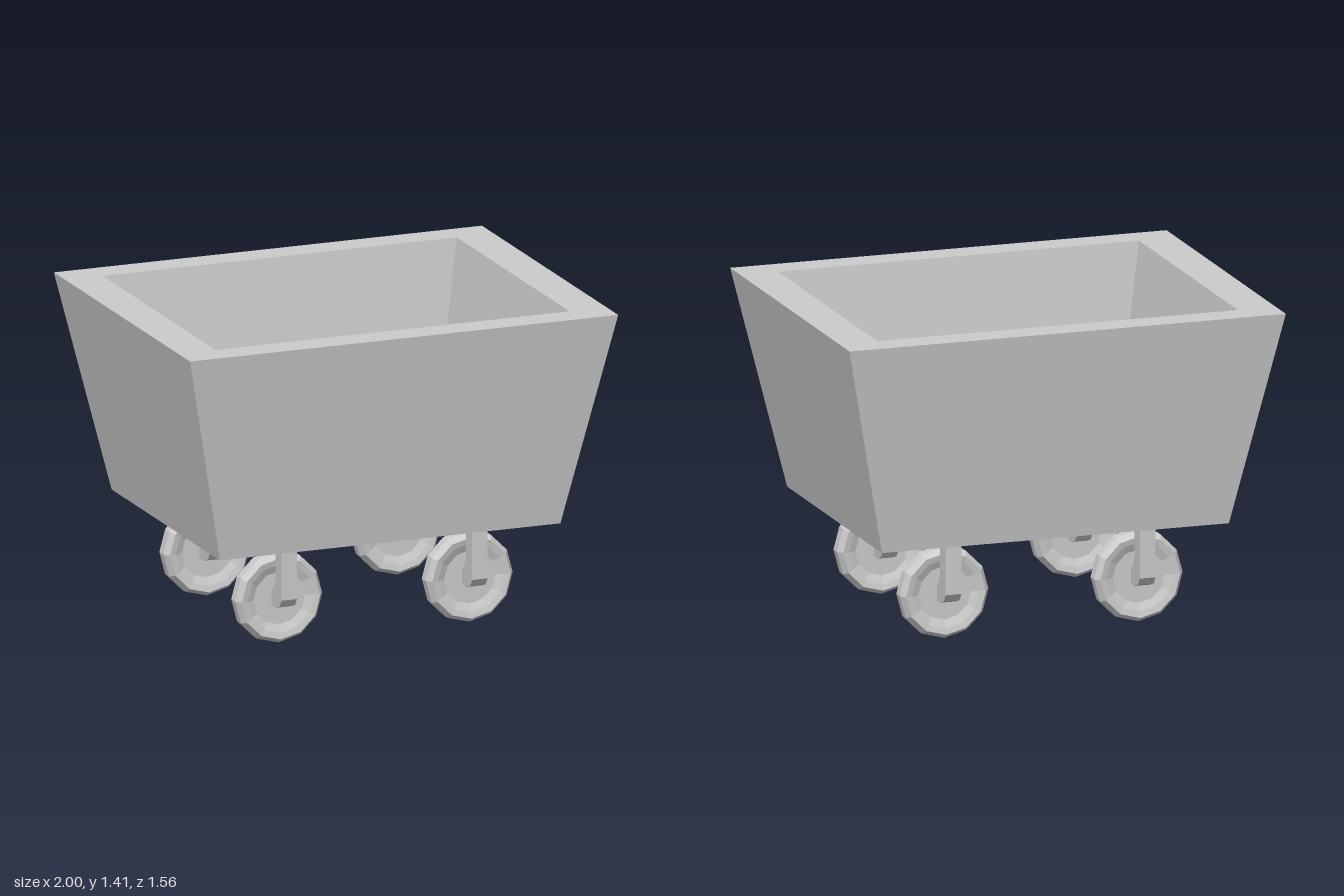
import * as THREE from 'three';

const grey = new THREE.MeshStandardMaterial({ color: 0xcccccc, flatShading: true });

// Skin through rectangular rings [halfX, y, halfZ], closed at both ends
function rectLoft(rings) {
  const corners = [[1, 1], [1, -1], [-1, -1], [-1, 1]];
  const pos = [];
  const quad = (a, b, c, d) => pos.push(...a, ...b, ...c, ...a, ...c, ...d);
  const loops = rings.map(([hx, y, hz]) => corners.map(([sx, sz]) => [sx * hx, y, sz * hz]));
  for (let i = 0; i < loops.length - 1; i++) {
    for (let j = 0; j < 4; j++) {
      const k = (j + 1) % 4;
      quad(loops[i][j], loops[i][k], loops[i + 1][k], loops[i + 1][j]);
    }
  }
  quad(...[...loops[0]].reverse());
  quad(...loops[loops.length - 1]);
  const geo = new THREE.BufferGeometry();
  geo.setAttribute('position', new THREE.Float32BufferAttribute(pos, 3));
  geo.computeVertexNormals();
  return geo;
}

// Twelve-sided wheel with a bevelled tyre and a recessed disc
function wheelGeometry() {
  const half = [[0, 0.03], [0.12, 0.03], [0.155, 0.045], [0.183, 0.051], [0.203, 0.023]];
  const profile = [
    ...half.map(([r, z]) => new THREE.Vector2(r, -z)),
    ...[...half].reverse().map(([r, z]) => new THREE.Vector2(r, z)),
  ];
  return new THREE.LatheGeometry(profile, 12).rotateX(Math.PI / 2);
}

// U-shaped bracket whose cross bar doubles as the axle
function forkGeometry() {
  const side = [
    [0.073, 0.46], [0.073, 0.297], [0.053, 0.258], [0.03, 0.248],
  ];
  const outer = [[0.075, 0.175], [0.122, 0.192], [0.146, 0.225], [0.146, 0.46]];
  const mirror = (pts) => pts.map(([x, y]) => [-x, y]).reverse();
  const outline = [...side, ...mirror(side), ...mirror(outer), ...outer];
  const shape = new THREE.Shape(outline.map(([x, y]) => new THREE.Vector2(x, y)));
  const width = 0.072;
  return new THREE.ExtrudeGeometry(shape, { depth: width, bevelEnabled: false })
    .translate(0, 0, -width / 2)
    .rotateY(Math.PI / 2);
}

export function createModel() {
  const cart = new THREE.Group();
  cart.name = 'cart';

  const add = (parent, geo, name) => {
    const mesh = new THREE.Mesh(geo, grey);
    mesh.name = name;
    parent.add(mesh);
    return mesh;
  };

  // Tapered open tub: outside, rim, inside walls, floor
  add(cart, rectLoft([
    [0.795, 0.455, 0.62],
    [1, 1.41, 0.78],
    [0.827, 1.41, 0.647],
    [0.69, 0.59, 0.54],
  ]), 'tub');

  // Four casters
  const wheelGeo = wheelGeometry();
  const forkGeo = forkGeometry();
  for (const [sx, xName] of [[1, 'Left'], [-1, 'Right']]) {
    for (const [sz, zName] of [[1, 'front'], [-1, 'back']]) {
      const caster = new THREE.Group();
      caster.name = `${zName}${xName}Caster`;
      caster.position.set(sx * 0.445, 0, sz * 0.411);
      add(caster, wheelGeo, 'wheel').position.y = 0.206;
      add(caster, forkGeo, 'fork');
      cart.add(caster);
    }
  }
  return cart;
}
